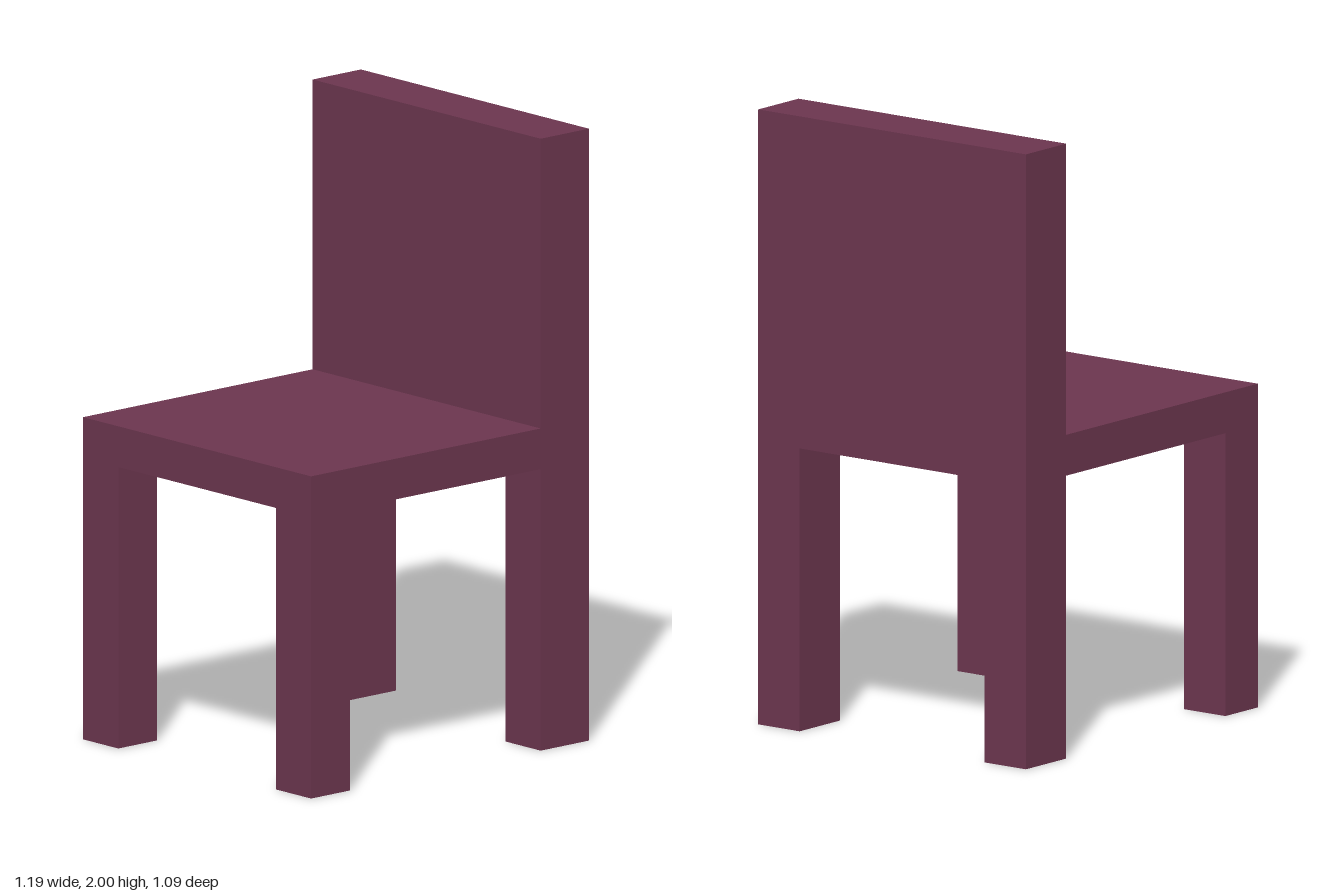
import * as THREE from 'three';

export function createModel() {
  const chair = new THREE.Group();
  chair.name = 'chair';
  const plum = new THREE.MeshStandardMaterial({ color: 0x6b354e });
  plum.name = 'plum';

  // Adds a box given its lower and upper corners
  function addBox(name, [x0, y0, z0], [x1, y1, z1]) {
    const mesh = new THREE.Mesh(new THREE.BoxGeometry(x1 - x0, y1 - y0, z1 - z0), plum);
    mesh.position.set((x0 + x1) / 2, (y0 + y1) / 2, (z0 + z1) / 2);
    mesh.name = name;
    chair.add(mesh);
  }

  const halfX = 0.593, halfZ = 0.543; // footprint
  const under = 0.92, seatTop = 1.053; // seat heights
  const backX = 0.387; // face of the backrest
  const legX = 0.166, legZ = 0.168; // leg thickness

  // Seat slab and backrest
  addBox('seat', [-halfX, under, -halfZ], [backX, seatTop, halfZ]);
  addBox('backrest', [backX, under, -halfZ], [halfX, 2, halfZ]);

  // Legs: the rear pair is as deep as the backrest
  for (const [side, z] of [['Left', -halfZ], ['Right', halfZ - legZ]]) {
    addBox('frontLeg' + side, [-halfX, 0, z], [-halfX + legX, under, z + legZ]);
    addBox('rearLeg' + side, [backX, 0, z], [halfX, under, z + legZ]);
  }

  return chair;
}
